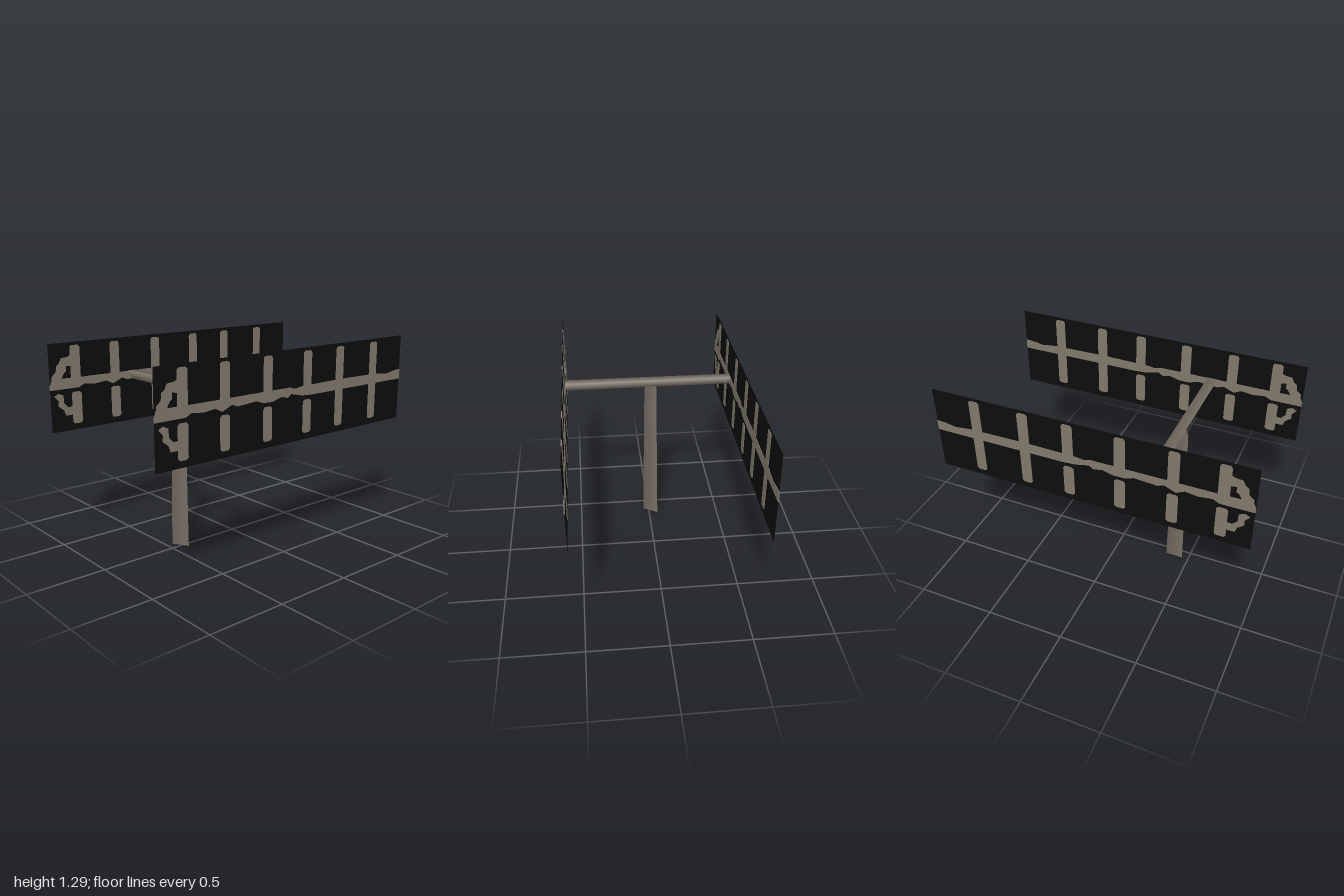
import * as THREE from 'three';

const steel = new THREE.MeshStandardMaterial({ color: 0x80786c, side: THREE.DoubleSide });
steel.name = 'warmGrey';
const black = new THREE.MeshStandardMaterial({ color: 0x0d0d0d, side: THREE.DoubleSide });
black.name = 'black';

const PANEL_X = 0.56;
const THICK = 0.006;

// Painted detail: outline in (z, y), laid as a thin plate through the panel
function plate(name, points, hole) {
  const shape = new THREE.Shape(points.map(([z, y]) => new THREE.Vector2(z, y)));
  if (hole) shape.holes.push(new THREE.Path(hole.map(([z, y]) => new THREE.Vector2(z, y))));
  const geo = new THREE.ExtrudeGeometry(shape, { depth: THICK, bevelEnabled: false });
  geo.translate(0, 0, -THICK / 2).rotateY(-Math.PI / 2);
  const mesh = new THREE.Mesh(geo, steel);
  mesh.name = name;
  return mesh;
}

// Upright strip with clipped corners
function strip(z, y0, y1) {
  const w = 0.034, c = 0.012;
  return plate('elementStrip', [
    [z - w + c, y0], [z + w - c, y0], [z + w, y0 + c], [z + w, y1 - c],
    [z + w - c, y1], [z - w + c, y1], [z - w, y1 - c], [z - w, y0 + c],
  ]);
}

function createPanel() {
  const panel = new THREE.Group();
  const sheet = new THREE.Mesh(new THREE.PlaneGeometry(2, 0.56).rotateY(Math.PI / 2), black);
  sheet.name = 'panelSheet';
  sheet.position.y = 1.01;
  panel.add(sheet);

  // Long central boom with a slightly ragged edge
  panel.add(plate('boomStrip', [
    [1, 1.03], [0.985, 1.065], [0.03, 1.065], [-0.01, 1.052], [-0.06, 1.06], [-0.38, 1.065],
    [-0.77, 1.06], [-0.87, 1.048], [-0.94, 1.06], [-1, 1.065], [-1, 1], [-0.15, 1],
    [-0.07, 1.005], [0.02, 1.025], [0.05, 1.005], [0.1, 1.018], [0.17, 1.0], [0.24, 1.0],
    [0.3, 1.02], [0.36, 1.015], [0.44, 1.01], [0.48, 1.025], [0.55, 0.995], [0.6, 1.02],
    [0.68, 1.01], [0.76, 1.02], [0.8, 1], [1, 1],
  ]));

  // Cross elements, the front four broken just below the boom
  [0.818, 0.53, 0.21, -0.113, -0.398, -0.718].forEach((z, i) => {
    panel.add(strip(z, 1.03, 1.27));
    panel.add(strip(z, 0.77, i < 4 ? 0.975 : 1.03));
  });

  // Stepped brackets at the front end
  panel.add(plate('upperBracket', [
    [0.985, 1.05], [0.985, 1.085], [0.955, 1.11], [0.95, 1.15], [0.93, 1.165], [0.915, 1.195],
    [0.87, 1.2], [0.835, 1.215], [0.835, 1.05],
  ], [[0.92, 1.067], [0.9, 1.1], [0.885, 1.11], [0.885, 1.145], [0.852, 1.14], [0.852, 1.067]]));
  panel.add(plate('lowerBracket', [
    [0.975, 0.96], [0.945, 0.975], [0.912, 0.96], [0.91, 0.91], [0.88, 0.88], [0.84, 0.885],
    [0.84, 0.83], [0.9, 0.83], [0.912, 0.865], [0.95, 0.895], [0.945, 0.925],
  ]));
  return panel;
}

// Open three-sided tube with its ridge toward +x
function tube(rTop, rBottom, length) {
  return new THREE.CylinderGeometry(rTop, rBottom, length, 3, 1, true, Math.PI / 2);
}

export function createModel() {
  const model = new THREE.Group();
  model.name = 'twinPanelAntenna';

  const post = new THREE.Mesh(tube(0.051, 0.0667, 1.02), steel);
  post.name = 'post';
  post.position.set(-0.027, 0.51, 0.4);
  model.add(post);

  const bar = new THREE.Mesh(tube(0.04, 0.038, 2 * PANEL_X).rotateZ(-Math.PI / 2), steel);
  bar.name = 'crossbar';
  bar.position.set(0, 1.048, 0.4);
  model.add(bar);

  for (const side of [1, -1]) {
    const panel = createPanel();
    panel.name = side > 0 ? 'leftPanel' : 'rightPanel';
    panel.position.x = side * PANEL_X;
    model.add(panel);
  }
  return model;
}
